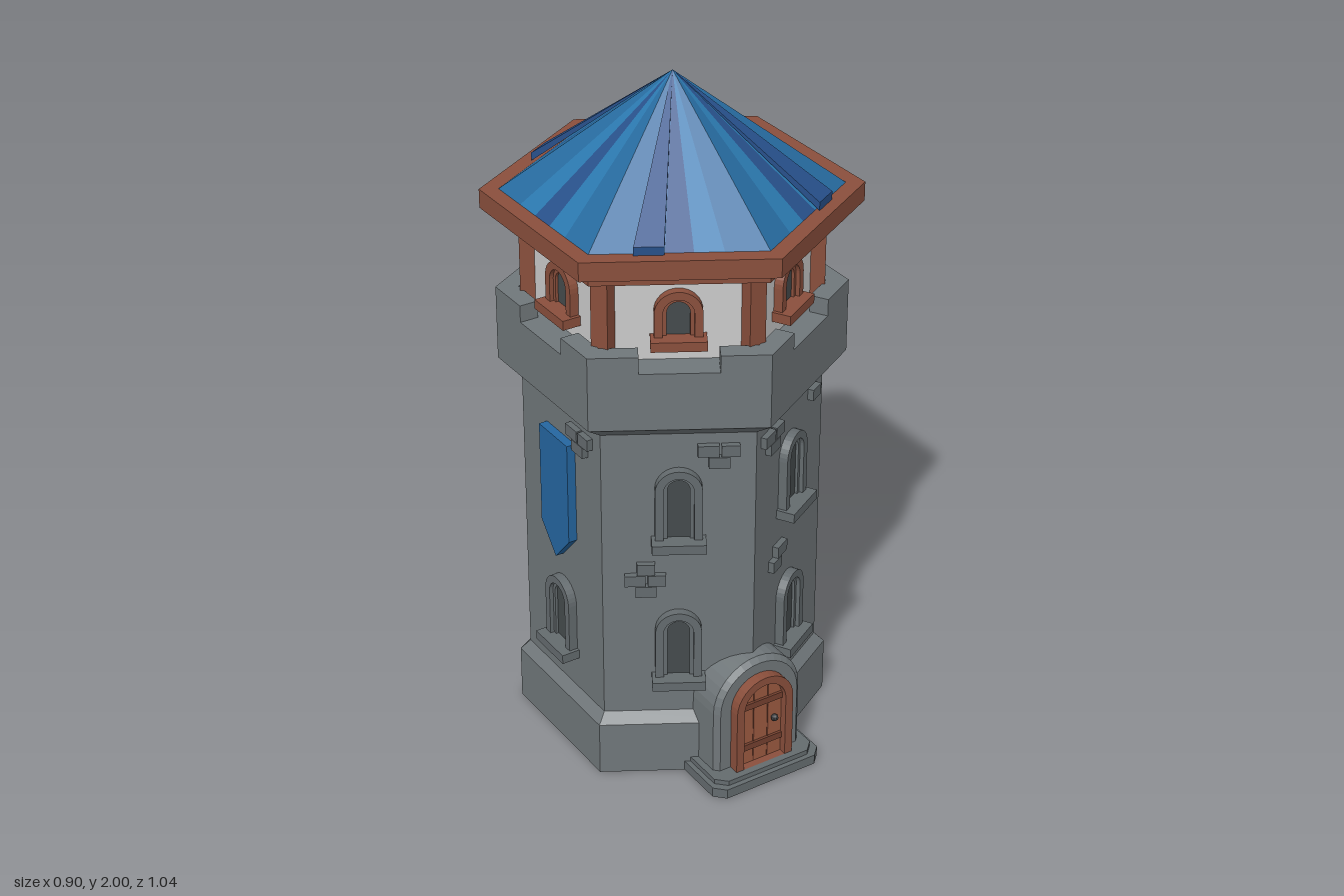
import * as THREE from 'three';
import { ConvexGeometry } from 'three/addons/geometries/ConvexGeometry.js';

const mat = (color, side = THREE.FrontSide) =>
  new THREE.MeshStandardMaterial({ color, flatShading: true, side });
const STONE = mat(0x70777a), TRIM = mat(0x646b6e), PANE = mat(0x454b4d), PLASTER = mat(0xcccccc);
const WOOD = mat(0x8a4f3c), DOOR = mat(0x9a5a40), BAND = mat(0x74402f), IRON = mat(0x3a3a3c);
const BLUE = mat(0x2a78ae), MID_BLUE = mat(0x266a9e), DARK_BLUE = mat(0x27508a);
const BANNER = mat(0x2566a0);
const BODY = 0.42 * Math.cos(Math.PI / 6);   // distance from axis to a body wall
const UPPER = 0.39 * Math.cos(Math.PI / 6);  // distance from axis to an upper wall

function add(parent, name, geometry, material, x = 0, y = 0, z = 0) {
  const mesh = new THREE.Mesh(geometry, material);
  mesh.name = name;
  mesh.position.set(x, y, z);
  parent.add(mesh);
  return mesh;
}

function group(parent, name, x = 0, y = 0, z = 0) {
  const g = new THREE.Group();
  g.name = name;
  g.position.set(x, y, z);
  parent.add(g);
  return g;
}

const box = (w, h, d) => new THREE.BoxGeometry(w, h, d);

// six-sided solid with corners on the z axis
const hexSolid = (profile) =>
  new THREE.LatheGeometry(profile.map(([r, y]) => new THREE.Vector2(r, y)), 6);

// round-topped outline standing on y = base
function arch(Type, r, h, base = 0) {
  const s = new Type();
  s.moveTo(-r, base);
  s.lineTo(r, base);
  s.lineTo(r, h - r);
  s.absarc(0, h - r, r, 0, Math.PI, false);
  s.lineTo(-r, base);
  return s;
}

function archFrame(r, h, inner, depth, base = 0) {
  const s = arch(THREE.Shape, r, h);
  s.holes.push(arch(THREE.Path, inner, h - (r - inner), base));
  return new THREE.ExtrudeGeometry(s, { depth, bevelEnabled: false, curveSegments: 8 });
}

function archedWindow(parent, name, y, h, z, trim) {
  const g = group(parent, name, 0, y, z);
  add(g, 'windowFrame', archFrame(0.065, h, 0.042, 0.026, 0.012), trim);
  add(g, 'windowPane', new THREE.ShapeGeometry(arch(THREE.Shape, 0.044, h - 0.02), 8), PANE, 0, 0, 0.006);
  add(g, 'windowInnerArch', archFrame(0.042, h - 0.023, 0.031, 0.014, 0.012), trim);
  add(g, 'windowSill', box(0.15, 0.028, 0.055), trim, 0, 0.008, 0.0275);
}

// raised stones per wall: [across, height]
const trio = (u, y) => [[u - 0.03, y], [u + 0.03, y], [u, y - 0.036]];
const pair = (u, y) => [[u + 0.015, y], [u - 0.015, y - 0.036]];
const diamond = (u, y) => [[u, y + 0.036], [u - 0.03, y], [u + 0.03, y], [u, y - 0.036]];
const BRICKS = [
  [...trio(-0.125, 1.056), [0.14, 1.056], ...pair(-0.08, 0.655)],
  trio(0.115, 1.056),
  [...trio(-0.125, 1.056), [0.14, 1.056], ...pair(-0.09, 0.655), ...trio(0.12, 0.26)],
  [...pair(-0.13, 1.056), [0.14, 1.056], ...diamond(-0.08, 0.645), [0.12, 0.34]],
  trio(0.115, 1.056),
  [...trio(0.11, 1.056), ...diamond(-0.09, 0.645)],
];

function buildWall(parent, k) {
  const wall = group(parent, 'wall' + (k + 1));
  wall.rotation.y = Math.PI / 6 + k * Math.PI / 3;
  const isSide = k === 1 || k === 4;
  archedWindow(wall, 'lowerWindow', 0.305, 0.235, BODY, TRIM);
  if (isSide) {
    // pointed hanging banner
    const s = new THREE.Shape([[-0.075, 1.01], [-0.075, 0.7], [0, 0.615], [0.075, 0.7], [0.075, 1.01]]
      .map(([x, y]) => new THREE.Vector2(x, y)));
    add(wall, 'banner', new THREE.ExtrudeGeometry(s, { depth: 0.026, bevelEnabled: false }), BANNER, 0, 0, BODY);
  } else {
    archedWindow(wall, 'middleWindow', 0.76, 0.24, BODY, TRIM);
  }
  archedWindow(wall, 'topWindow', 1.375, 0.155, UPPER, WOOD);
  BRICKS[k].forEach(([u, y], i) =>
    add(wall, 'raisedStone', box(i % 2 ? 0.05 : 0.058, 0.034, 0.036), TRIM, u, y, BODY));
}

// angled battlement that wraps one corner
function merlonGeometry() {
  const R = 0.485, L = 0.135, T = 0.055, c = Math.cos(Math.PI / 6);
  const ox = L * c, oy = R - L / 2, ix = ox - T / 2, iy = oy - T * c;
  const s = new THREE.Shape([[0, R], [-ox, oy], [-ix, iy], [0, R - T / c], [ix, iy], [ox, oy]]
    .map(([x, y]) => new THREE.Vector2(x, y)));
  return new THREE.ExtrudeGeometry(s, { depth: 0.06, bevelEnabled: false }).rotateX(Math.PI / 2);
}

function buildRoof(parent) {
  const roof = group(parent, 'roof');
  add(roof, 'eaves', hexSolid([[0, 1.575], [0.47, 1.575], [0.47, 1.61], [0.52, 1.61], [0.52, 1.665], [0, 1.665]]), WOOD);
  const apex = new THREE.Vector3(0, 2, 0);
  const corner = (k) => new THREE.Vector3(Math.sin(k * Math.PI / 3) * 0.467, 1.665, Math.cos(k * Math.PI / 3) * 0.467);
  const cuts = [0, 0.25, 0.42, 0.58, 0.75, 1];
  const tones = [MID_BLUE, BLUE, DARK_BLUE, BLUE, MID_BLUE];
  const raised = { 0: 3, 3: 2, 5: 1 };
  for (let k = 0; k < 6; k++) {
    const a = corner(k), b = corner(k + 1);
    for (let i = 0; i < 5; i++) {
      const p = a.clone().lerp(b, cuts[i]), q = a.clone().lerp(b, cuts[i + 1]);
      const strip = new THREE.BufferGeometry().setFromPoints([p, q, apex]);
      strip.computeVertexNormals();
      add(roof, 'roofStrip', strip, tones[i]);
      if (raised[k] === i) {
        // thicker slat standing proud of the slope
        const out = p.clone().add(q).setY(0).normalize().multiplyScalar(0.012);
        p.add(out); q.add(out);
        const up = new THREE.Vector3(0, 0.024, 0);
        add(roof, 'raisedSlat', new ConvexGeometry([apex, p, q, p.clone().add(up), q.clone().add(up)]), DARK_BLUE);
      }
    }
  }
}

function buildEntrance(parent) {
  const g = group(parent, 'entrance');
  // chamfered doorstep in two layers
  const step = (name, w, front, cut, h, y) => {
    const s = new THREE.Shape([[-w, 0.3], [w, 0.3], [w, front - cut], [w - cut, front], [cut - w, front], [-w, front - cut]]
      .map(([x, z]) => new THREE.Vector2(x, z)));
    add(g, name, new THREE.ExtrudeGeometry(s, { depth: h, bevelEnabled: false }).rotateX(Math.PI / 2), TRIM, 0, y + h, 0);
  };
  step('lowerStep', 0.18, 0.523, 0.03, 0.03, 0);
  step('upperStep', 0.165, 0.508, 0.03, 0.015, 0.03);
  const surround = new THREE.ExtrudeGeometry(arch(THREE.Shape, 0.13, 0.325), {
    depth: 0.14, bevelThickness: 0.015, bevelSize: 0.015, bevelSegments: 1, curveSegments: 8 });
  add(g, 'stoneSurround', surround, STONE, 0, 0.045, 0.3);
  add(g, 'doorFrame', archFrame(0.095, 0.293, 0.07, 0.035), WOOD, 0, 0.045, 0.452);
  add(g, 'door', new THREE.ExtrudeGeometry(arch(THREE.Shape, 0.072, 0.27),
    { depth: 0.012, bevelEnabled: false, curveSegments: 8 }), DOOR, 0, 0.045, 0.452);
  for (const x of [-0.024, 0.024]) add(g, 'plankGroove', box(0.004, 0.245, 0.004), BAND, x, 0.17, 0.464);
  for (const y of [0.105, 0.245]) add(g, 'doorBand', box(0.136, 0.02, 0.01), BAND, 0, y, 0.467);
  add(g, 'doorKnob', new THREE.SphereGeometry(0.011, 8, 6), IRON, 0.043, 0.175, 0.472);
}

export function createModel() {
  const tower = new THREE.Group();
  tower.name = 'tower';
  // plinth, shaft and flared parapet
  add(tower, 'towerBody', hexSolid([[0, 0], [0.45, 0], [0.45, 0.165], [0.42, 0.195], [0.42, 1.105],
    [0.485, 1.15], [0.485, 1.32], [0, 1.32]]), STONE);
  add(tower, 'upperRoom', hexSolid([[0.39, 1.31], [0.39, 1.59]]), PLASTER);
  const merlon = merlonGeometry();
  for (let k = 0; k < 6; k++) {
    buildWall(tower, k);
    const post = group(tower, 'corner' + (k + 1));
    post.rotation.y = k * Math.PI / 3;
    add(post, 'merlon', merlon, STONE, 0, 1.37, 0);
    add(post, 'cornerPost', box(0.05, 0.265, 0.05), WOOD, 0, 1.4525, 0.392);
  }
  buildRoof(tower);
  buildEntrance(tower);
  return tower;
}
